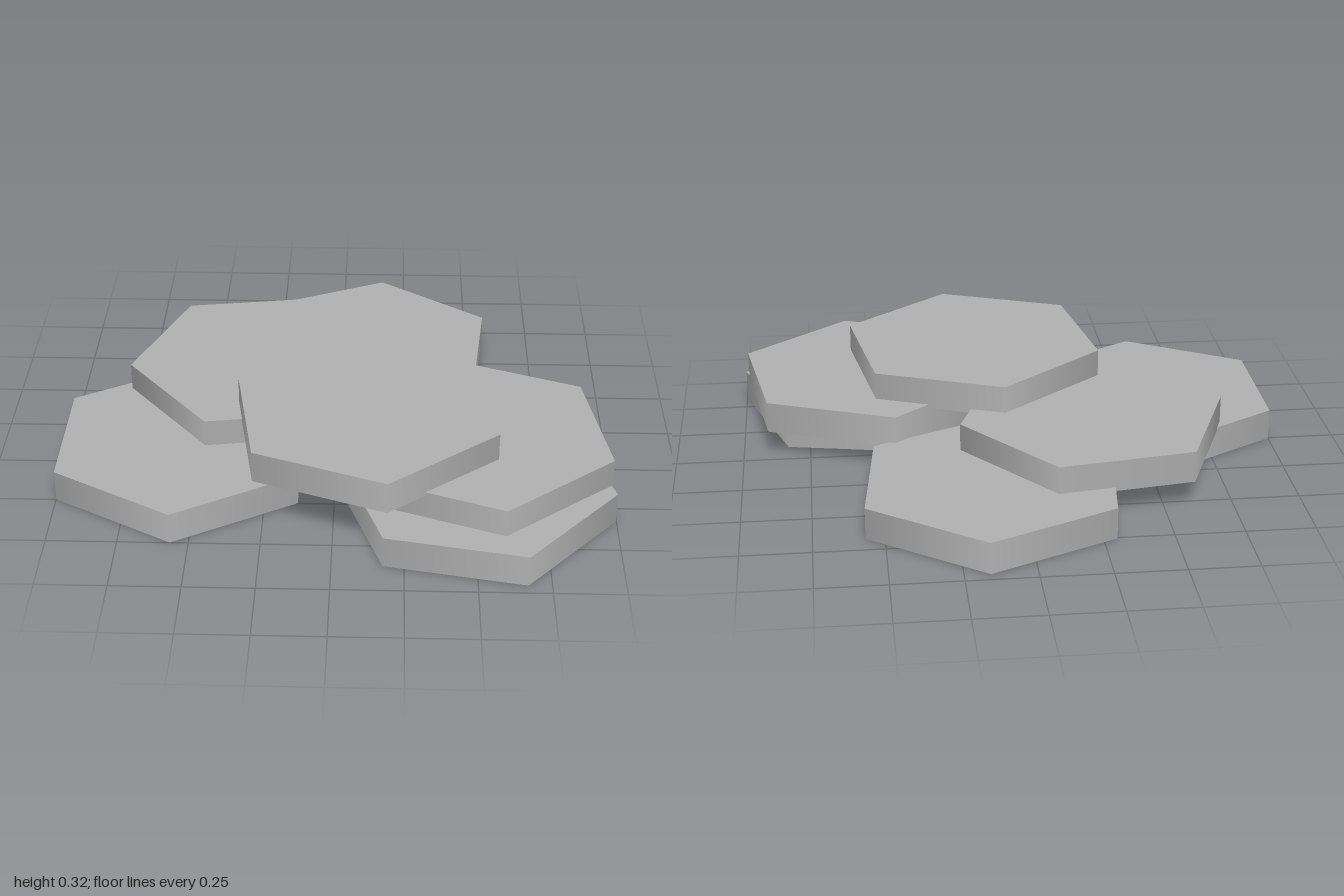
import * as THREE from 'three';

// Stack of overlapping six-sided stone slabs in three layers
export function createModel() {
  const group = new THREE.Group();
  const stone = new THREE.MeshStandardMaterial({ color: 0xb0b0b0 });
  stone.name = 'grey stone';

  const radius = 0.502;
  const thickness = 0.117;
  const layerStep = 0.1025; // slabs sink slightly into the layer below
  const slab = new THREE.CylinderGeometry(radius, radius, thickness, 6);

  // name, layer, centre x, centre z, turn in degrees
  const slabs = [
    ['bottomSlabRight', 0, -0.565, 0.247, 0],
    ['bottomSlabBack', 0, 0.11, -0.463, -5.7],
    ['bottomSlabLeft', 0, 0.505, 0.485, 19.1],
    ['middleSlabRight', 1, -0.2925, -0.16, 38.6],
    ['middleSlabLeft', 1, 0.515, 0.345, 9.2],
    ['topSlab', 2, 0.11, 0.345, 9.2],
  ];

  for (const [name, layer, x, z, turn] of slabs) {
    const mesh = new THREE.Mesh(slab, stone);
    mesh.name = name;
    mesh.position.set(x, thickness / 2 + layer * layerStep, z);
    mesh.rotation.y = THREE.MathUtils.degToRad(turn);
    group.add(mesh);
  }
  return group;
}
